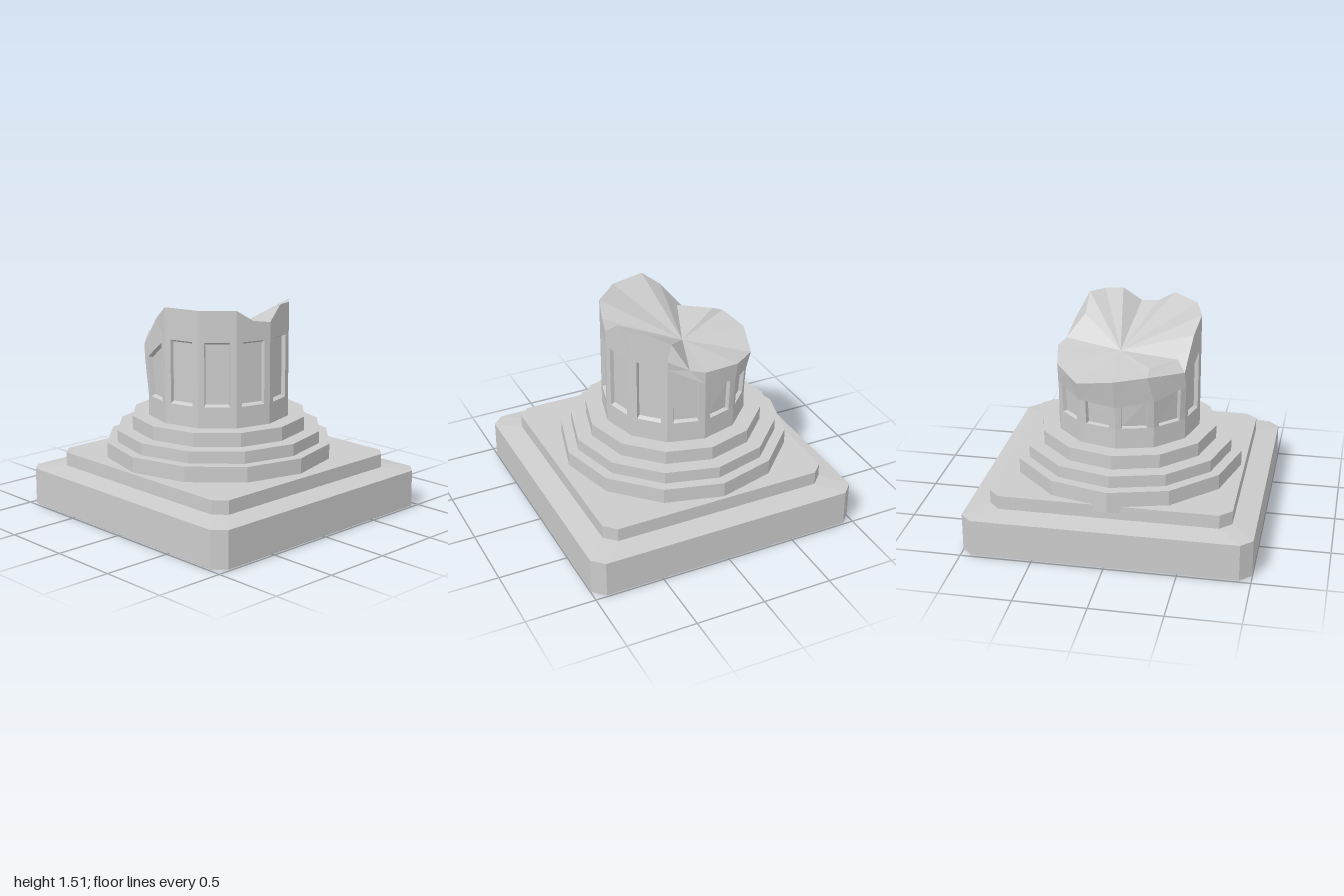
import * as THREE from 'three';

const CX = -0.05; // the column stands slightly off centre
const RADIUS = 0.51;
const SIDES = 12;
const material = new THREE.MeshStandardMaterial({ color: 0xcccccc, flatShading: true });
const v = (x, y, z) => new THREE.Vector3(x, y, z);

// Collects triangles and quads into one faceted geometry
class Facets {
  constructor() { this.points = []; }
  tri(a, b, c) { this.points.push(a, b, c); }
  quad(a, b, c, d) { this.tri(a, b, c); this.tri(a, c, d); }
  build() {
    const geometry = new THREE.BufferGeometry().setFromPoints(this.points);
    geometry.computeVertexNormals();
    return geometry;
  }
}

function addMesh(group, name, geometry) {
  const mesh = new THREE.Mesh(geometry, material);
  mesh.name = name;
  group.add(mesh);
  return mesh;
}

// Square slab with cut corners, lofted through [halfWidth, y] levels
function slab(levels, cut = 0.08) {
  const f = new Facets();
  const rings = levels.map(([h, y]) => {
    const i = h - cut;
    return [[h, -i], [h, i], [i, h], [-i, h], [-h, i], [-h, -i], [-i, -h], [i, -h]]
      .map(([x, z]) => v(x, y, z));
  });
  const last = rings.length - 1;
  const bottom = v(0, levels[0][1], 0);
  const top = v(0, levels[last][1], 0);
  for (let k = 0; k < 8; k++) {
    const n = (k + 1) % 8;
    for (let j = 0; j < last; j++) f.quad(rings[j][n], rings[j][k], rings[j + 1][k], rings[j + 1][n]);
    f.tri(bottom, rings[0][k], rings[0][n]);
    f.tri(top, rings[last][n], rings[last][k]);
  }
  return f.build();
}

// Point on the column's corner k at height y
function corner(k, y) {
  const a = (k * Math.PI * 2) / SIDES;
  return v(CX + RADIUS * Math.cos(a), y, RADIUS * Math.sin(a));
}

// Per corner: top of the panels and broken rim; the low half has slipped outwards
function columnOutline() {
  const panelTop = [], rim = [], rimMid = [];
  for (let k = 0; k < SIDES; k++) {
    panelTop.push(corner(k, 1.29));
    rim.push(corner(k, 1.51));
  }
  rim[0].y = 1.41;
  panelTop[4].set(-0.33, 1.09, 0.45);
  panelTop[5].set(-0.52, 1.04, 0.26);
  panelTop[6].set(-0.57, 1.0, 0);
  panelTop[7].set(-0.5, 1.01, -0.26);
  panelTop[8].set(-0.31, 1.06, -0.45);
  panelTop[9].y = 1.13;
  panelTop[10].y = 1.27;
  rim[4].set(-0.35, 1.2, 0.44);
  rim[5].set(-0.56, 1.23, 0.22);
  rim[6].set(-0.61, 1.2, -0.01);
  rim[7].set(-0.53, 1.14, -0.27);
  rim[8].set(-0.33, 1.19, -0.45);
  rim[9].set(-0.05, 1.22, -0.51);
  rim[10].y = 1.33;
  for (let k = 0; k < SIDES; k++) rimMid.push(rim[k].clone().lerp(rim[(k + 1) % SIDES], 0.5));
  rimMid[0].set(0.425, 1.43, 0.13);
  rimMid[3].set(-0.18, 1.41, 0.475);
  rimMid[9].set(0.05, 1.24, -0.47);
  rimMid[10].set(0.3, 1.51, -0.35);
  rimMid[11].set(0.425, 1.51, -0.13);
  return { panelTop, rim, rimMid };
}

// Faceted wall with a sunken panel on each side
function columnWall({ panelTop, rim, rimMid }) {
  const f = new Facets();
  for (let k = 0; k < SIDES; k++) {
    const n = (k + 1) % SIDES;
    const a0 = corner(k, 0.66), b0 = corner(n, 0.66);
    const a1 = corner(k, 0.84), b1 = corner(n, 0.84);
    const a2 = panelTop[k], b2 = panelTop[n];
    f.quad(b0, a0, a1, b1);

    // Opening, seen from outside: right, left, upper left, upper right
    const hole = [
      b1.clone().lerp(a1, 0.17), b1.clone().lerp(a1, 0.83),
      b2.clone().lerp(a2, 0.83), b2.clone().lerp(a2, 0.17),
    ];
    const mid = ((k + 0.5) * Math.PI * 2) / SIDES;
    const inward = v(-Math.cos(mid), 0, -Math.sin(mid)).multiplyScalar(0.028);
    const centre = hole.reduce((s, p) => s.add(p), v(0, 0, 0)).multiplyScalar(0.25);
    const floor = hole.map((p) => p.clone().lerp(centre, 0.07).add(inward));
    f.quad(...floor);
    for (let i = 0; i < 4; i++) {
      const j = (i + 1) % 4;
      f.quad(hole[i], hole[j], floor[j], floor[i]);
    }
    f.quad(b1, hole[0], hole[3], b2);
    f.quad(hole[1], a1, a2, hole[2]);

    // Frieze up to the broken rim
    f.tri(b2, a2, rimMid[k]);
    f.tri(a2, rim[k], rimMid[k]);
    f.tri(b2, rimMid[k], rim[n]);
  }
  return f.build();
}

// Broken top: two slopes meeting along a crack
function brokenTop({ rim, rimMid }) {
  const f = new Facets();
  const crack = v(-0.1, 1.23, -0.05);
  const notch = v(0.13, 1.4, -0.35);
  const chipFront = v(-0.27, 1.26, 0.38), chipSide = v(-0.48, 1.265, 0.22);
  const loop = [rimMid[9], notch, rimMid[10], rim[11], rimMid[11]];
  for (let k = 0; k < 4; k++) loop.push(rim[k], rimMid[k]);
  loop.push(chipFront, chipSide, rim[5]);
  for (let k = 6; k < 10; k++) loop.push(rim[k]);
  loop.forEach((p, i) => f.tri(crack, loop[(i + 1) % loop.length], p));

  // Chipped corners on both ends of the crack
  f.tri(notch, rim[10], rimMid[9]);
  f.tri(notch, rimMid[10], rim[10]);
  f.tri(chipFront, rim[4], rimMid[3]);
  f.quad(chipFront, chipSide, rim[5], rim[4]);
  return f.build();
}

export function createModel() {
  const group = new THREE.Group();
  group.name = 'brokenColumn';

  // Square base
  addMesh(group, 'base', slab([[0.98, 0], [1, 0.012], [1, 0.275], [0.84, 0.3]]));
  addMesh(group, 'plinth', slab([[0.84, 0.29], [0.84, 0.398]]));

  // Twelve-sided steps: radius, bottom, top
  const steps = [[0.815, 0.355, 0.507], [0.74, 0.48, 0.593], [0.63, 0.57, 0.692]];
  steps.forEach(([r, y0, y1], i) => {
    const step = addMesh(group, `step${i + 1}`, new THREE.CylinderGeometry(r, r, y1 - y0, SIDES));
    step.position.set(CX, (y0 + y1) / 2, 0);
  });

  // Ruined column
  const outline = columnOutline();
  addMesh(group, 'columnWall', columnWall(outline));
  addMesh(group, 'brokenTop', brokenTop(outline));
  return group;
}
